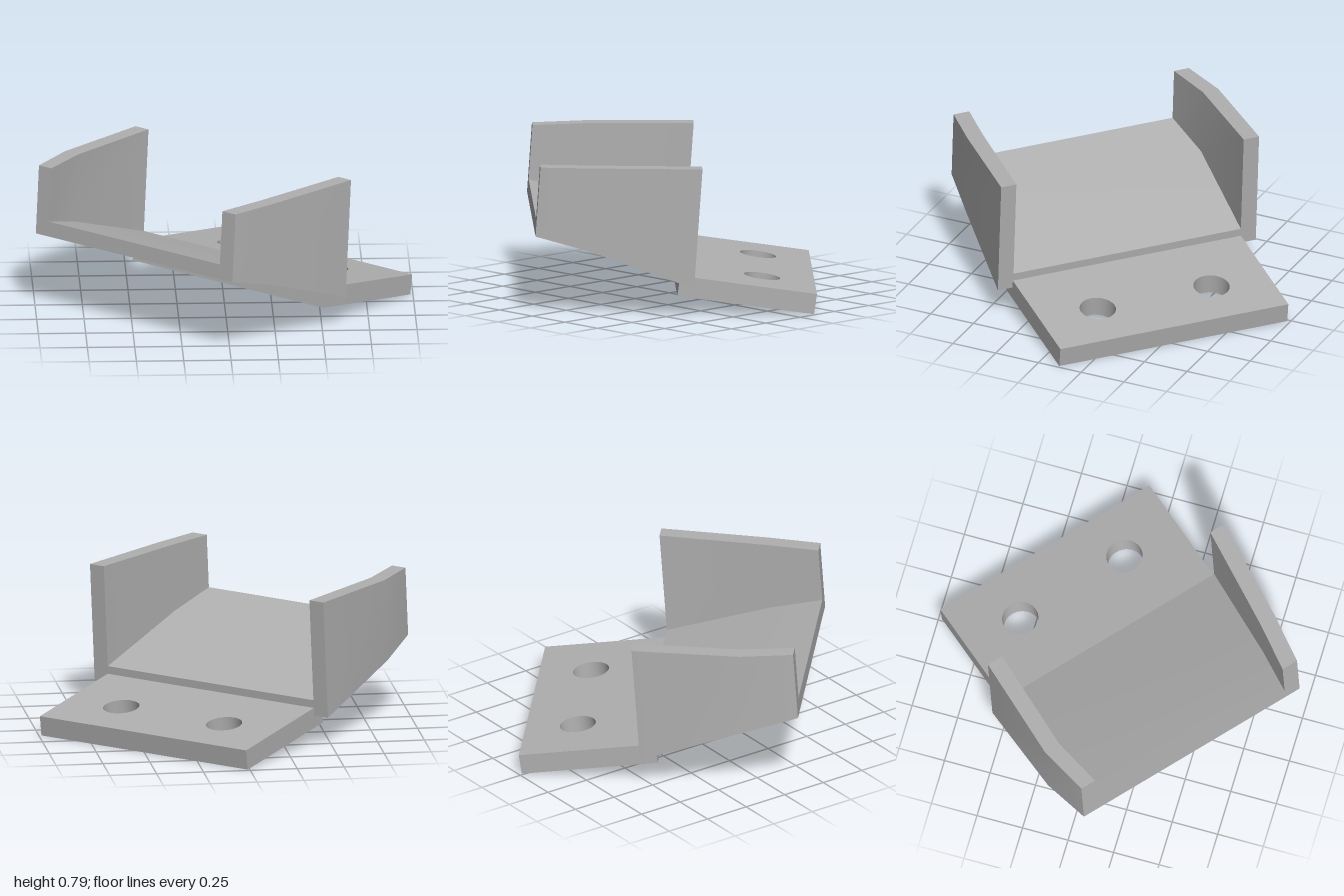
import * as THREE from 'three';
import { toCreasedNormals } from 'three/addons/utils/BufferGeometryUtils.js';

const TOP = 0.795; // level of the wall tops
const LEAN = 0.07; // backward lean per unit of height

// Joins U-shaped cross-sections, listed front to back, into a capped channel
function loftChannel(stations) {
  const rings = stations.map(({ u, under, floor, left, right }) => {
    const [lo, li] = left, [ro, ri] = right;
    return [[lo, under], [ro, under], [ro, TOP], [ri, TOP], [ri, floor], [li, floor], [li, TOP], [lo, TOP]]
      .map(([x, y]) => [x, y, -(u + LEAN * (y - TOP))]);
  });
  const pos = [];
  const quad = (a, b, c, d) => pos.push(...a, ...b, ...c, ...a, ...c, ...d);
  for (let s = 0; s < rings.length - 1; s++) {
    const near = rings[s], far = rings[s + 1];
    for (let i = 0; i < 8; i++) {
      const j = (i + 1) % 8;
      quad(near[i], far[i], far[j], near[j]);
    }
  }
  // End caps: one wall, the floor, the other wall
  const first = rings[0], last = rings[rings.length - 1];
  for (const [a, b, c, d] of [[0, 5, 6, 7], [0, 1, 4, 5], [1, 2, 3, 4]]) {
    quad(first[a], first[b], first[c], first[d]);
    quad(last[d], last[c], last[b], last[a]);
  }
  const geo = new THREE.BufferGeometry();
  geo.setAttribute('position', new THREE.Float32BufferAttribute(pos, 3));
  return toCreasedNormals(geo, 0.5);
}

// Sloping flat plate with two bolt holes
function mountingPlate() {
  const x0 = -0.645, x1 = 0.66, depth = 0.729;
  const shape = new THREE.Shape([
    new THREE.Vector2(x0, 0), new THREE.Vector2(x1, 0),
    new THREE.Vector2(x1, depth), new THREE.Vector2(x0, depth),
  ]);
  for (const x of [-0.322, 0.329]) {
    shape.holes.push(new THREE.Path().absarc(x, 0.448, 0.096, 0, Math.PI * 2, true));
  }
  const geo = new THREE.ExtrudeGeometry(shape, { depth: 0.109, bevelEnabled: false, curveSegments: 32 });
  geo.rotateX(-Math.PI / 2);
  geo.rotateX(-0.14);
  geo.translate(0, 0.102, -0.02);
  return toCreasedNormals(geo, 0.5);
}

export function createModel() {
  const grey = new THREE.MeshStandardMaterial({ color: 0xb0b0b0 });
  grey.name = 'grey';

  const model = new THREE.Group();
  model.name = 'bracket';

  // Ramp with a wall on each side, bent a little at the middle station
  const channel = new THREE.Mesh(loftChannel([
    { u: -0.703, under: 0.425, floor: 0.505, left: [-0.688, -0.603], right: [0.659, 0.569] },
    { u: -0.425, under: 0.353, floor: 0.430, left: [-0.740, -0.651], right: [0.695, 0.605] },
    { u: 0.150, under: 0.157, floor: 0.242, left: [-0.732, -0.644], right: [0.744, 0.657] },
  ]), grey);
  channel.name = 'channelRamp';

  const plate = new THREE.Mesh(mountingPlate(), grey);
  plate.name = 'mountingPlate';

  // The whole bracket stands diagonally
  const body = new THREE.Group();
  body.name = 'bracketBody';
  body.add(channel, plate);
  body.rotation.y = -0.7275;
  model.add(body);
  return model;
}
